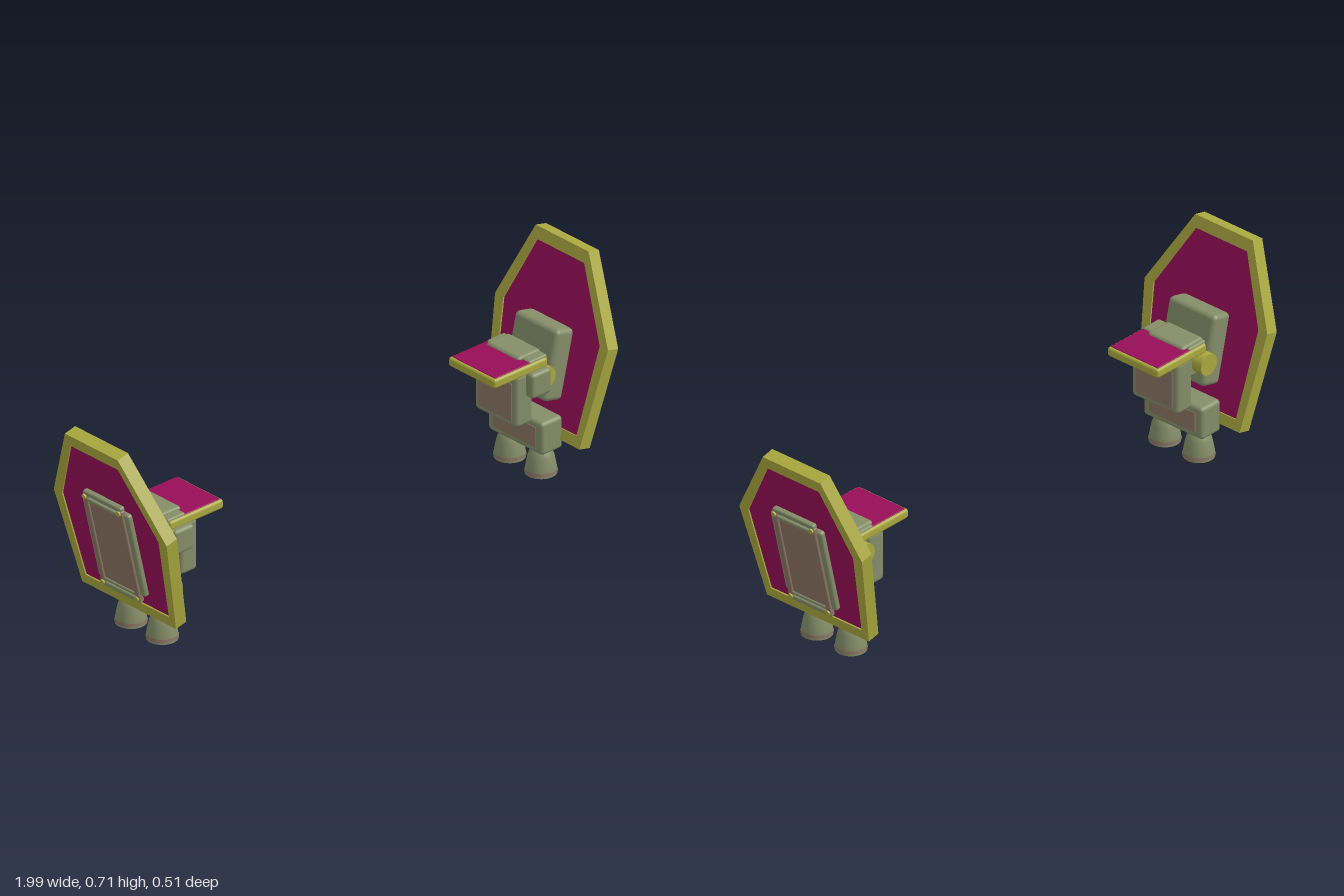
import * as THREE from 'three';
import { RoundedBoxGeometry } from 'three/addons/geometries/RoundedBoxGeometry.js';

const mat = (name, color, side = THREE.FrontSide) => {
  const m = new THREE.MeshStandardMaterial({ color, side });
  m.name = name;
  return m;
};

export function createModel() {
  const olive = mat('olive trim', 0xa9a83f);
  const magenta = mat('magenta panel', 0x980d58, THREE.DoubleSide);
  const grey = mat('grey green armour', 0x848d68);
  const tan = mat('tan inset', 0x8c7464);
  const TILT = 0.233;

  // Outlines as (z, y) pairs measured along the upright shield
  const rim = [[-0.21, 0], [0.21, 0], [0.253, 0.34], [0.1, 0.606], [-0.137, 0.606], [-0.253, 0.34]];
  const inner = [[-0.187, 0.036], [0.187, 0.036], [0.216, 0.34], [0.09, 0.565], [-0.122, 0.565], [-0.216, 0.34]];
  const points = (list) => list.map(([x, y]) => new THREE.Vector2(x, y));
  const plate = (shape, depth) => new THREE.ExtrudeGeometry(shape, { depth, bevelEnabled: false })
    .translate(0, 0, -depth / 2).rotateY(-Math.PI / 2);
  const rimShape = new THREE.Shape(points(rim));
  rimShape.holes.push(new THREE.Path(points(inner)));
  const rimGeo = plate(rimShape, 0.044);
  const panelGeo = plate(new THREE.Shape(points(inner)), 0.034);

  // Rocket bell, outside and lining
  const bell = [[0.05, 0], [0.05, 0.012], [0.047, 0.03], [0.041, 0.06], [0.034, 0.08], [0.024, 0.092]];
  const bellGeo = new THREE.LatheGeometry(points(bell), 28);
  const liningGeo = new THREE.LatheGeometry(points([[0.05, 0], [0.043, 0.002], [0.037, 0.04], [0.025, 0.075], [0, 0.08]]), 28);

  // One side of the pair; s is +1 for left and -1 for right
  function buildSide(s) {
    const side = new THREE.Group();
    side.name = s > 0 ? 'leftShoulder' : 'rightShoulder';
    const add = (parent, name, geo, m, x, y, z) => {
      const mesh = new THREE.Mesh(geo, m);
      mesh.name = name;
      mesh.position.set(s * x, y, z);
      parent.add(mesh);
      return mesh;
    };
    const box = (parent, name, m, x, y, z, w, h, d, r = 0.01) =>
      add(parent, name, new RoundedBoxGeometry(w, h, d, 2, r), m, x, y, z);

    // Leaning shield
    const shield = new THREE.Group();
    shield.name = 'shield';
    shield.position.set(s * 0.836, 0.115, 0);
    shield.rotation.z = -s * TILT;
    side.add(shield);
    add(shield, 'shieldRim', rimGeo, olive, 0, 0, 0);
    add(shield, 'shieldPanel', panelGeo, magenta, 0, 0, 0);

    // Framed hatch on the outer face
    const hatchY = 0.238;
    box(shield, 'hatchBase', grey, 0.023, hatchY, 0, 0.024, 0.315, 0.212, 0.009);
    for (const e of [-1, 1]) {
      box(shield, 'hatchPost', tan, 0.035, hatchY, e * 0.078, 0.018, 0.345, 0.02, 0.005);
      box(shield, 'hatchCrossbar', grey, 0.032, hatchY + e * 0.175, 0, 0.02, 0.018, 0.17, 0.006);
      box(shield, 'hatchRail', grey, 0.033, hatchY + e * 0.153, 0, 0.02, 0.012, 0.15, 0.005);
      for (const f of [-1, 1]) {
        const bolt = add(shield, 'hatchBolt', new THREE.CylinderGeometry(0.009, 0.009, 0.006, 12), olive,
          0.045, hatchY + e * 0.165, f * 0.077);
        bolt.rotation.z = Math.PI / 2;
      }
    }
    box(shield, 'hatchPanel', tan, 0.034, hatchY, 0, 0.012, 0.295, 0.134, 0.005);

    // Padded block on the inner face
    box(shield, 'mountBlock', grey, -0.052, 0.235, 0, 0.075, 0.235, 0.195, 0.016);

    // Pivot joint
    box(side, 'jointCore', grey, 0.745, 0.36, -0.01, 0.095, 0.12, 0.15, 0.012);
    box(side, 'frontJointBlock', grey, 0.74, 0.34, 0.095, 0.08, 0.085, 0.06, 0.012);
    const pivot = add(side, 'pivotDisc', new THREE.CylinderGeometry(0.036, 0.036, 0.235, 24), olive, 0.772, 0.345, -0.006);
    pivot.rotation.x = Math.PI / 2;

    // Hanging arm block with inset faces
    box(side, 'armBlock', grey, 0.695, 0.29, 0, 0.07, 0.18, 0.19, 0.014);
    box(side, 'armInset', tan, 0.66, 0.285, 0, 0.006, 0.13, 0.15, 0.002);
    box(side, 'armUnderside', tan, 0.695, 0.2, 0, 0.045, 0.006, 0.15, 0.002);

    // Flat shoulder plate
    box(side, 'topPlate', olive, 0.672, 0.393, 0, 0.222, 0.032, 0.21, 0.009);
    for (const y of [0.378, 0.409]) {
      box(side, 'topPlateSkin', magenta, 0.665, y, 0, 0.19, 0.005, 0.194, 0.002);
    }
    for (const e of [-1, 1]) {
      box(side, 'plateHinge', grey, 0.75, 0.405, e * 0.075, 0.075, 0.022, 0.045, 0.007);
    }

    // Thruster housing and bells
    box(side, 'thrusterHousing', grey, 0.785, 0.143, 0, 0.088, 0.112, 0.245, 0.013);
    box(side, 'housingInset', tan, 0.741, 0.143, 0, 0.005, 0.07, 0.19, 0.002);
    box(side, 'housingOuterInset', tan, 0.829, 0.143, 0, 0.005, 0.08, 0.19, 0.002);
    for (const z of [-0.07, 0.07]) {
      add(side, 'thrusterBell', bellGeo, grey, 0.785, 0, z);
      add(side, 'thrusterLining', liningGeo, magenta, 0.785, 0, z);
      add(side, 'bellBand', new THREE.CylinderGeometry(0.0505, 0.0515, 0.01, 28, 1, true), tan, 0.785, 0.012, z);
    }
    return side;
  }

  const model = new THREE.Group();
  model.name = 'shoulderShields';
  for (const s of [1, -1]) model.add(buildSide(s));
  return model;
}
